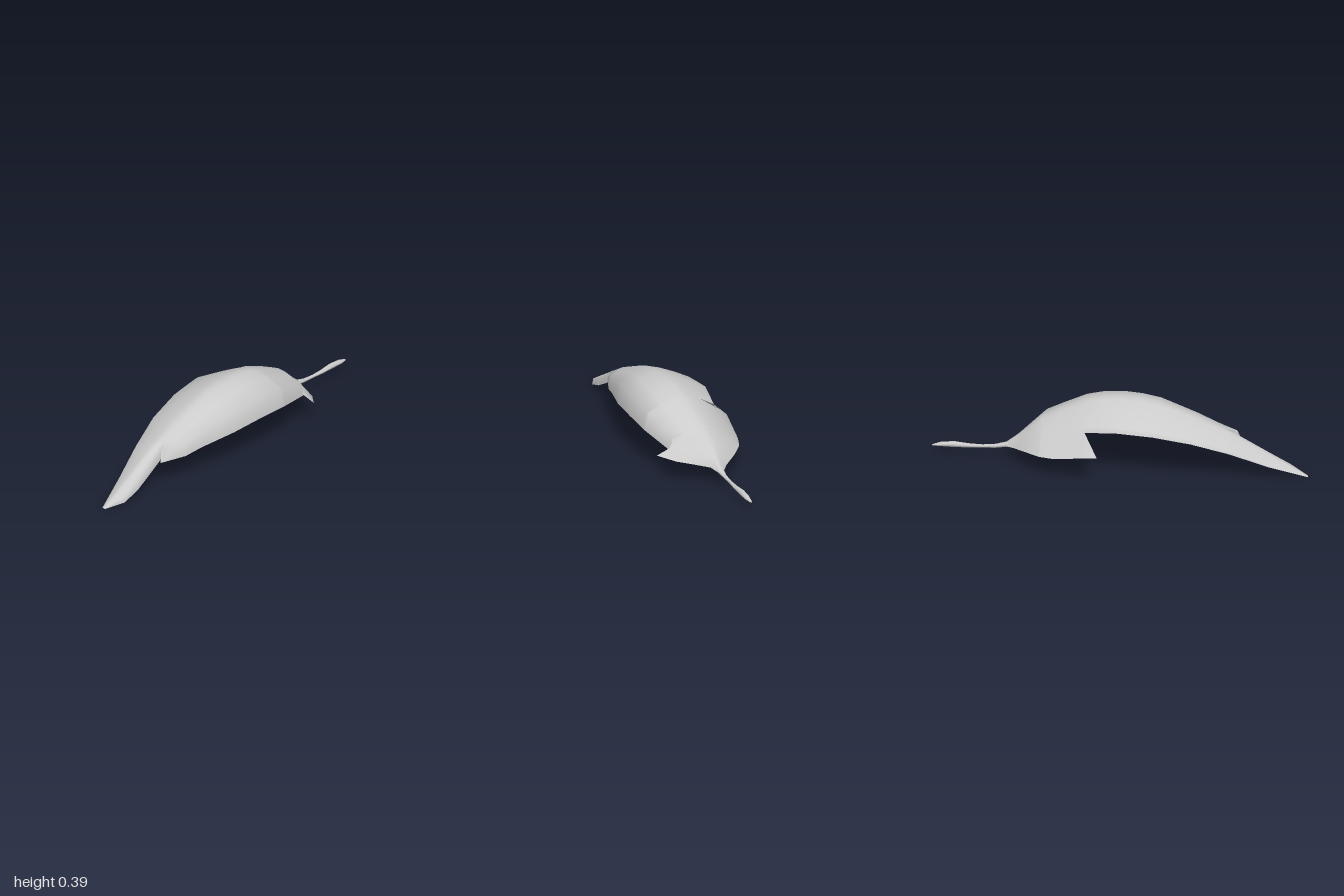
import * as THREE from 'three';

// Guide lines of the vane from tip to stem, as [z, x, y]
const RIDGE = [
  [1, -0.005, 0.005], [0.8, 0.005, 0.112], [0.6, 0.01, 0.221], [0.4, 0.015, 0.305],
  [0.2, 0.025, 0.37], [0.1, 0.03, 0.385], [0, 0.03, 0.388], [-0.1, 0.03, 0.38],
  [-0.2, 0.03, 0.354], [-0.32, 0.02, 0.302], [-0.43, 0.015, 0.245], [-0.48, 0.005, 0.2],
  [-0.53, 0, 0.155], [-0.6, 0, 0.1],
];
const RIGHT_EDGE = [
  [1, -0.015, 0.002], [0.8, -0.068, 0.07], [0.6, -0.12, 0.155], [0.4, -0.168, 0.222],
  [0.2, -0.192, 0.26], [0, -0.2, 0.275], [-0.18, -0.165, 0.25], [-0.32, -0.232, 0.12],
  [-0.4, -0.203, 0.114], [-0.48, -0.14, 0.106], [-0.56, -0.055, 0.088], [-0.6, -0.025, 0.08],
];
const LEFT_EDGE = [
  [1, 0.003, 0.002], [0.9, 0.055, 0.017], [0.8, 0.062, 0.05], [0.58, 0.06, 0.165],
  [0.5, 0.143, 0.157], [0.4, 0.168, 0.175], [0.2, 0.225, 0.2], [0, 0.25, 0.213],
  [-0.18, 0.252, 0.203], [-0.41, 0.2, 0.157], [-0.48, 0.2, 0.123], [-0.53, 0.1, 0.104],
  [-0.56, 0.035, 0.09], [-0.6, 0.02, 0.08],
];

// Barbs split from an edge: they start at a tip [x, y, z] and rejoin the edge at "end"
const RIGHT_BARBS = [{ start: -0.2, end: -0.32, tip: [-0.275, 0.16, -0.085] }];
const LEFT_BARBS = [
  { start: 0.56, end: 0.5, tip: [0.085, 0.153, 0.637] },
  { start: -0.43, end: -0.48, tip: [0.275, 0.14, -0.402] },
];

// Half profiles from ridge to edge: [fraction of width, fraction of height]
const RIGHT_SLOPE = [[0, 1], [0.17, 0.965], [0.55, 0.64], [0.95, 0.24], [1, 0]];
const LEFT_SLOPE = [[0, 1], [0.18, 0.995], [0.55, 0.85], [0.91, 0.62], [1, 0]];
const REAR_SLOPE = [[0, 1], [0.17, 0.95], [0.45, 0.7], [0.75, 0.37], [1, 0]];

// Where the vane is cut into cross-sections
const SECTIONS = [
  1, 0.9, 0.8, 0.7, 0.6, 0.58, 0.56, 0.53, 0.5, 0.4, 0.3, 0.2, 0.1, 0, -0.1,
  -0.18, -0.2, -0.26, -0.32, -0.4, -0.41, -0.43, -0.48, -0.53, -0.56, -0.6,
];

// Stem cross-sections: [z, centre x, centre y, half width, half height]
const STEM = [
  [-0.53, 0, 0.12, 0.02, 0.01], [-0.6, -0.002, 0.084, 0.021, 0.014],
  [-0.66, -0.002, 0.07, 0.01, 0.011], [-0.73, -0.002, 0.064, 0.008, 0.009],
  [-0.8, 0, 0.062, 0.012, 0.011], [-0.88, 0.001, 0.064, 0.015, 0.016],
  [-0.95, 0.003, 0.06, 0.015, 0.012], [-0.99, 0.001, 0.054, 0.007, 0.005],
  [-1, 0, 0.052, 0.002, 0.002],
];

const THICKNESS = 0.012;
const { lerp } = THREE.MathUtils;

// Point [x, y, z] on a guide line
function pointAt(line, z) {
  const i = Math.max(1, line.findIndex((p) => p[0] <= z));
  const [z0, x0, y0] = line[i - 1];
  const [z1, x1, y1] = line[i];
  const k = (z0 - z) / (z0 - z1);
  return [lerp(x0, x1, k), lerp(y0, y1, k), z];
}

// Point on an edge, following a barb where there is one
function edgeAt(line, barbs, z) {
  const barb = barbs.find((b) => z <= b.start && z >= b.end);
  if (!barb) return pointAt(line, z);
  const k = (barb.start - z) / (barb.start - barb.end);
  return pointAt(line, barb.end).map((v, i) => lerp(barb.tip[i], v, k));
}

// One half of a cross-section, from the ridge out to an edge
function slope(ridge, edge, profile, under) {
  const rise = ridge[1] - edge[1];
  const depth = under ? Math.min(THICKNESS, rise * 0.3) : 0;
  return profile.map(([t, h]) => {
    const inset = t < 1 ? depth : 0;
    const x = lerp(ridge[0], edge[0], t);
    return [
      x - Math.sign(edge[0] - ridge[0]) * inset * t,
      edge[1] + rise * h - inset,
      lerp(ridge[2], edge[2], Math.pow(t, 4)),
    ];
  });
}

// Arched cross-section from the right edge over the ridge to the left edge
function section(z, under) {
  const ridge = pointAt(RIDGE, z);
  const right = slope(ridge, edgeAt(RIGHT_EDGE, RIGHT_BARBS, z),
    z <= RIGHT_BARBS[0].start ? REAR_SLOPE : RIGHT_SLOPE, under);
  const left = slope(ridge, edgeAt(LEFT_EDGE, LEFT_BARBS, z),
    z <= LEFT_BARBS[1].start ? REAR_SLOPE : LEFT_SLOPE, under);
  return [...right.reverse(), ...left.slice(1)];
}

// Joins rows of points into a smooth surface
function loft(rows, flip) {
  const n = rows[0].length;
  const index = [];
  for (let i = 0; i < rows.length - 1; i++) {
    for (let j = 0; j < n - 1; j++) {
      const a = i * n + j, b = a + 1, c = a + n, d = c + 1;
      if (flip) index.push(a, c, b, b, c, d);
      else index.push(a, b, c, b, d, c);
    }
  }
  const geometry = new THREE.BufferGeometry();
  geometry.setAttribute('position', new THREE.Float32BufferAttribute(rows.flat(2), 3));
  geometry.setIndex(index);
  geometry.computeVertexNormals();
  return geometry;
}

export function createModel() {
  const group = new THREE.Group();
  group.name = 'feather';
  const material = new THREE.MeshStandardMaterial({ color: 0xcccccc, side: THREE.DoubleSide });
  const add = (name, geometry) => {
    const mesh = new THREE.Mesh(geometry, material);
    mesh.name = name;
    group.add(mesh);
  };

  // Arched vane: upper and lower skins meeting in a sharp edge
  add('vaneTop', loft(SECTIONS.map((z) => section(z, false)), false));
  add('vaneUnderside', loft(SECTIONS.map((z) => section(z, true)), true));

  // Thin stem swelling towards its end
  const sides = 10;
  add('stem', loft(STEM.map(([z, x, y, w, h]) =>
    Array.from({ length: sides + 1 }, (_, j) => {
      const angle = -j / sides * Math.PI * 2;
      return [x + w * Math.cos(angle), y + h * Math.sin(angle), z];
    })), false));

  return group;
}
